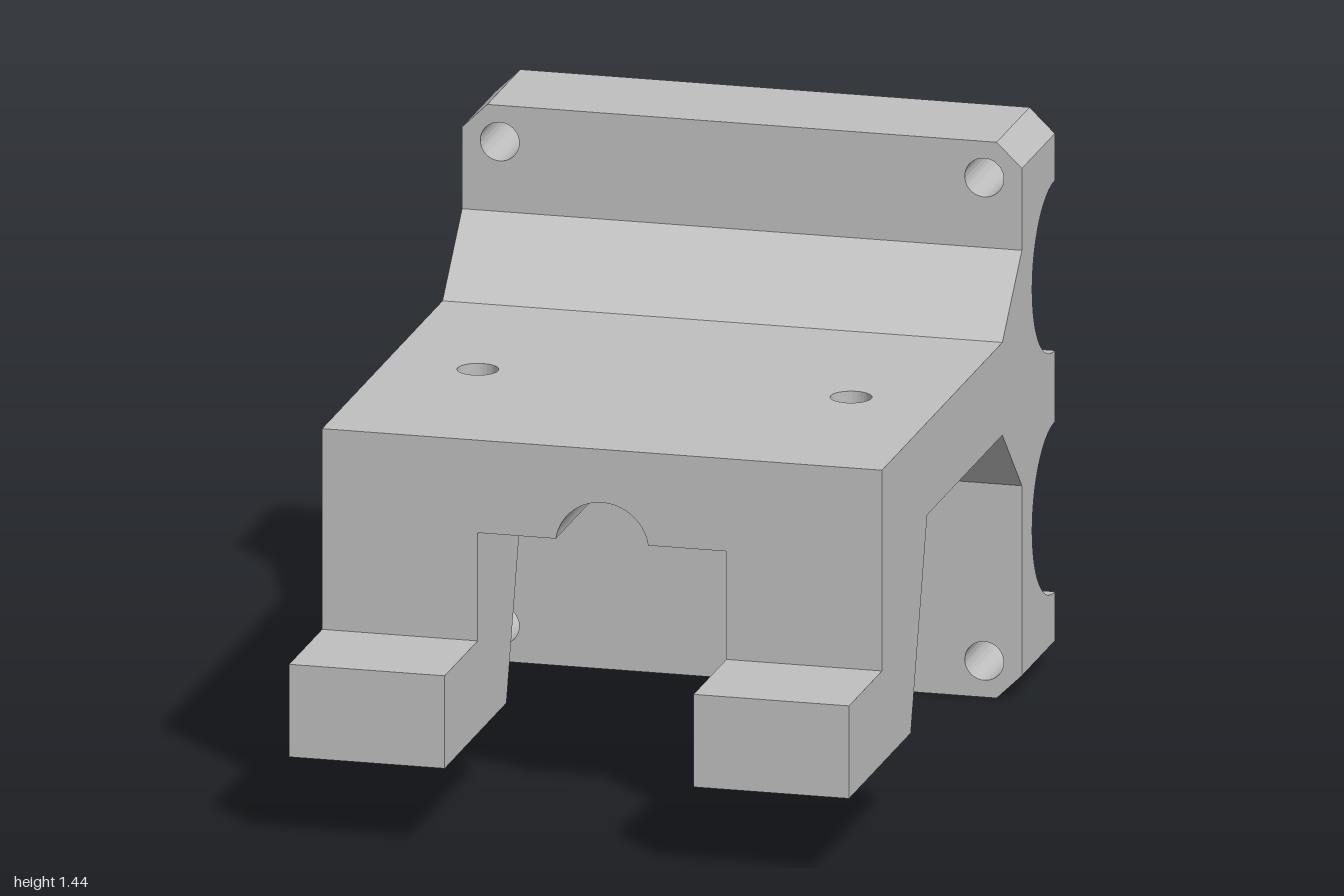
import * as THREE from 'three';
import { toCreasedNormals } from 'three/addons/utils/BufferGeometryUtils.js';
import { ParametricGeometry } from 'three/addons/geometries/ParametricGeometry.js';

const HALF = 0.72;             // half width of the bracket
const TOP = 0.98, UNDER = 0.74; // deck faces
const FRONT = 0.68, BACK = -0.49; // deck ends
const BORE = { y: 0.722, r: 0.12, end: -0.42 };

function polygon(points) {
  return new THREE.Shape(points.map(([a, b]) => new THREE.Vector2(a, b)));
}

function drill(shape, x, y, r) {
  shape.holes.push(new THREE.Path().absarc(x, y, r, 0, Math.PI * 2, true));
}

function extrude(shape, depth) {
  const geo = new THREE.ExtrudeGeometry(shape, { depth, bevelEnabled: false, curveSegments: 40 });
  return toCreasedNormals(geo, 0.4);
}

// Shape drawn in (z, y), extruded across x from x0 to x1
function extrudeX(shape, x0, x1) {
  return extrude(shape, x1 - x0).rotateY(-Math.PI / 2).translate(x1, 0, 0);
}

// Shape drawn in (x, z), extruded downward from y1 to y0
function extrudeY(shape, y0, y1) {
  return extrude(shape, y1 - y0).rotateX(Math.PI / 2).translate(0, y1, 0);
}

export function createModel() {
  const group = new THREE.Group();
  const grey = new THREE.MeshStandardMaterial({ color: 0xc0c0c0, side: THREE.DoubleSide });
  grey.name = 'grey';
  const add = (name, geo) => {
    const mesh = new THREE.Mesh(geo, grey);
    mesh.name = name;
    group.add(mesh);
  };

  // Middle of the back plate: two half-round channels and the sloped gussets
  const core = new THREE.Shape();
  core.moveTo(-0.68, 1.255);
  core.lineTo(-1, 1.255);
  core.absarc(-1, 1.035, 0.22, Math.PI / 2, -Math.PI / 2, true);
  core.lineTo(-1, 0.63);
  core.absarc(-1, 0.41, 0.22, Math.PI / 2, -Math.PI / 2, true);
  [[-0.68, 0.19], [-0.68, 0.555], [BACK, UNDER], [BACK, TOP], [-0.68, 1.165]]
    .forEach(([z, y]) => core.lineTo(z, y));
  add('channelPlate', extrudeX(core, -HALF, HALF));

  // Chamfered edge strips of the plate with screw holes
  const strip = (name, edge, dir, height) => {
    const at = (h) => edge + dir * h;
    const shape = polygon([
      [-0.655, at(0)], [0.655, at(0)], [HALF, at(0.063)],
      [HALF, at(height)], [-HALF, at(height)], [-HALF, at(0.063)],
    ]);
    for (const s of [-1, 1]) drill(shape, s * 0.623, at(0.094), 0.05);
    add(name, extrude(shape, 0.32).translate(0, 0, -1));
  };
  strip('lowerPlateEdge', 0, 1, 0.19);
  strip('upperPlateEdge', 1.44, -1, 0.185);

  // Deck sides with a vertical hole, and the stepped legs beneath them
  for (const [side, s] of [['left', 1], ['right', -1]]) {
    const slab = polygon([[s * 0.32, BACK], [s * HALF, BACK], [s * HALF, FRONT], [s * 0.32, FRONT]]);
    drill(slab, s * 0.48, 0.073, 0.052);
    add(side + 'Deck', extrudeY(slab, UNDER, TOP));

    const leg = polygon([[1, 0.22], [1, 0.46], [FRONT, 0.46], [FRONT, UNDER], [0.24, UNDER], [0.4, 0.22]]);
    add(side + 'Leg', extrudeX(leg, s > 0 ? 0.32 : -HALF, s > 0 ? HALF : -0.32));
  }

  // Deck centre with a round groove along its underside
  const lip = UNDER - BORE.y;
  const a0 = Math.asin(lip / BORE.r);
  const centre = new THREE.Shape();
  centre.moveTo(0.32, UNDER);
  centre.lineTo(0.32, TOP);
  centre.lineTo(-0.32, TOP);
  centre.lineTo(-0.32, UNDER);
  centre.absarc(0, BORE.y, BORE.r, Math.PI - a0, a0, true);
  add('groovedDeck', extrude(centre, FRONT - BACK).translate(0, 0, BACK));

  // Conical end of the groove, cut off flush with the underside
  const angle = (u) => a0 + u * (Math.PI - 2 * a0);
  const coneZ = (r) => BORE.end + (BACK - BORE.end) * (1 - r / BORE.r);
  const cone = new ParametricGeometry((u, v, p) => {
    const a = angle(u);
    const r = THREE.MathUtils.lerp(BORE.r, lip / Math.sin(a), v);
    p.set(r * Math.cos(a), BORE.y + r * Math.sin(a), coneZ(r));
  }, 40, 6);
  cone.computeVertexNormals();
  add('grooveTip', cone);

  // Underside behind the conical end
  const cap = new ParametricGeometry((u, v, p) => {
    const a = angle(u);
    p.set(lip / Math.tan(a), UNDER, THREE.MathUtils.lerp(BACK, coneZ(lip / Math.sin(a)), v));
  }, 40, 1);
  cap.computeVertexNormals();
  add('grooveTipUnderside', cap);

  return group;
}
